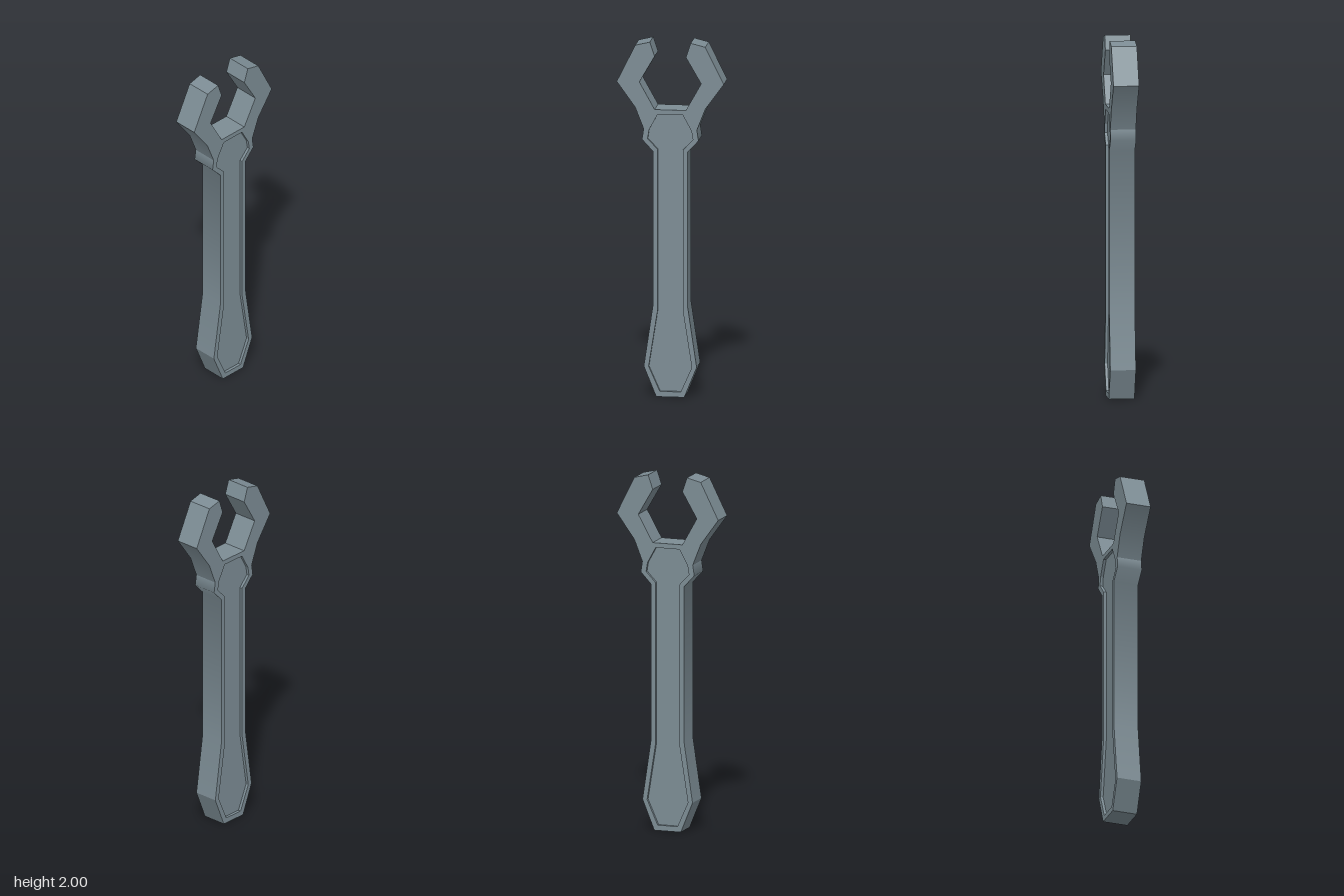
import * as THREE from 'three';

const HALF = 0.071;   // half thickness
const FLOOR = 0.055;  // depth of the recessed grip panel

// Right halves, bottom to top: [across, up, 1 if the corner is shaded smooth]
const bodyHalf = [
  [0.078, 0], [0.147, 0.17], [0.097, 0.51, 1], [0.097, 1.385, 1], [0.157, 1.45, 1], [0.148, 1.51],
  [0.195, 1.63, 1], [0.298, 1.773], [0.195, 1.98], [0.114, 2], [0.087, 1.92], [0.172, 1.773], [0.087, 1.62],
];
const panelHalf = [
  [0.058, 0.03], [0.12, 0.17], [0.07, 0.49, 1], [0.07, 1.395], [0.126, 1.455], [0.118, 1.505], [0.07, 1.593],
];

// Mirror a half into a closed counter-clockwise loop
const mirror = (half) => [...half, ...half.slice().reverse().map(([x, y, s]) => [-x, y, s])];
const toPoints = (loop) => loop.map(([x, y]) => new THREE.Vector2(x, y));

// Wall along a closed loop between two depths, smooth only at marked corners
function wall(loop, z0, z1) {
  const n = loop.length, pos = [], nor = [], index = [];
  const segNormal = (i) => {
    const a = loop[(i + n) % n], b = loop[(i + 1 + n) % n];
    return new THREE.Vector2(b[1] - a[1], a[0] - b[0]).normalize();
  };
  for (let i = 0; i < n; i++) {
    const own = segNormal(i);
    [[loop[i], i - 1], [loop[(i + 1) % n], i + 1]].forEach(([p, neighbour]) => {
      const v = p[2] ? own.clone().add(segNormal(neighbour)).normalize() : own;
      for (const z of [z0, z1]) {
        pos.push(p[0], p[1], z);
        nor.push(v.x, v.y, 0);
      }
    });
    const k = i * 4;
    index.push(k, k + 2, k + 3, k, k + 3, k + 1);
  }
  const g = new THREE.BufferGeometry();
  g.setAttribute('position', new THREE.Float32BufferAttribute(pos, 3));
  g.setAttribute('normal', new THREE.Float32BufferAttribute(nor, 3));
  g.setIndex(index);
  return g;
}

export function createModel() {
  const steel = new THREE.MeshStandardMaterial({ color: 0x7c8c94 });
  steel.name = 'steel';
  const body = mirror(bodyHalf), panel = mirror(panelHalf);
  const wrench = new THREE.Group();
  wrench.name = 'wrench';

  const add = (parent, name, geometry) => {
    const mesh = new THREE.Mesh(geometry, steel);
    mesh.name = name;
    parent.add(mesh);
  };

  // Outer edge running round handle and jaws
  add(wrench, 'outerEdge', wall(body, -HALF, HALF));

  // Two broad faces, each with a sunken grip panel
  const faceShape = new THREE.Shape(toPoints(body));
  faceShape.holes.push(new THREE.Path(toPoints(panel).reverse()));
  const panelShape = new THREE.Shape(toPoints(panel));
  for (const [name, turn] of [['leftFace', 0], ['rightFace', Math.PI]]) {
    const side = new THREE.Group();
    side.name = name;
    side.rotation.y = turn;
    add(side, 'rim', new THREE.ShapeGeometry(faceShape).translate(0, 0, HALF));
    add(side, 'gripPanel', new THREE.ShapeGeometry(panelShape).translate(0, 0, FLOOR));
    add(side, 'recessWall', wall(panel.slice().reverse(), FLOOR, HALF));
    wrench.add(side);
  }

  // Turn the broad faces towards the sides
  wrench.rotation.y = Math.PI / 2;
  const model = new THREE.Group();
  model.name = 'model';
  model.add(wrench);
  return model;
}
